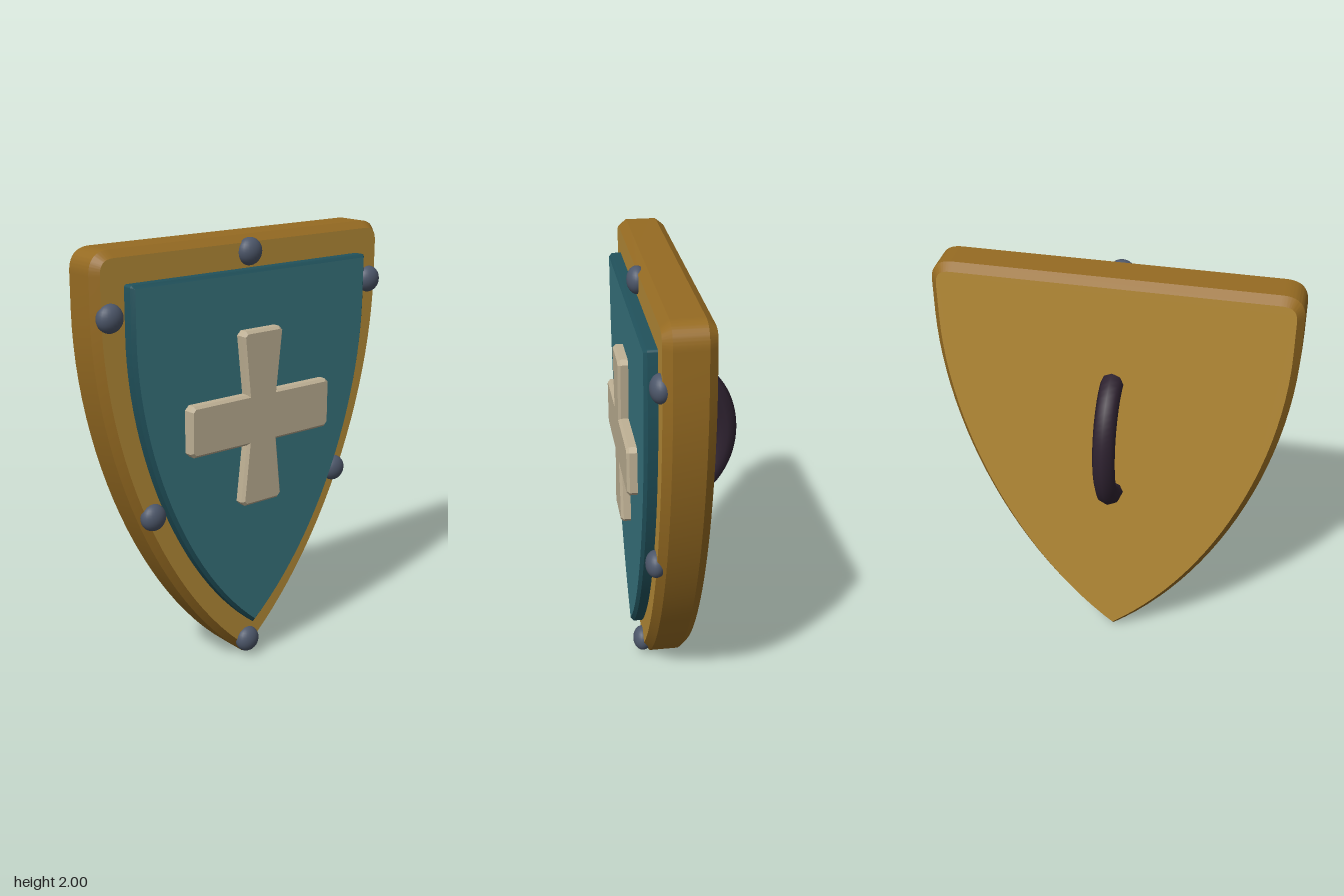
import * as THREE from 'three';
import { toCreasedNormals } from 'three/addons/utils/BufferGeometryUtils.js';

const mat = (name, color) => {
  const m = new THREE.MeshStandardMaterial({ color });
  m.name = name;
  return m;
};

// Heater shield outline: half width w, tip at y0, top at y1, corner radius r
function shieldOutline(w, y0, y1, r) {
  const h = y1 - y0, Y = (t) => y0 + t * h;
  const s = new THREE.Shape();
  s.moveTo(0, y0);
  s.bezierCurveTo(w * 0.625, Y(0.2), w, Y(0.575), w, Y(0.875));
  s.lineTo(w, y1 - r);
  s.quadraticCurveTo(w, y1, w - r, y1);
  s.lineTo(-w + r, y1);
  s.quadraticCurveTo(-w, y1, -w, y1 - r);
  s.lineTo(-w, Y(0.875));
  s.bezierCurveTo(-w, Y(0.575), -w * 0.625, Y(0.2), 0, y0);
  return s;
}

// Cross with straight side arms and flared upright arms, corners clipped by c
function crossOutline() {
  const c = 0.02, quarter = [
    [0.4 - c, 0.115], [0.085, 0.115], [0.115, 0.4 - c], [0.115 - c, 0.4],
  ];
  const right = [[0.4, 0.115 - c], ...quarter];
  const top = [...right, ...right.map(([x, y]) => [-x, y]).reverse()];
  const all = [...top, ...top.map(([x, y]) => [-x, -y])];
  return new THREE.Shape(all.map(([x, y]) => new THREE.Vector2(x, y)));
}

// Bevelled slab filling the outline exactly, from z0 to z1
function slab(name, shape, z0, z1, bevel, thick, materials) {
  const geo = new THREE.ExtrudeGeometry(shape, {
    depth: z1 - z0 - 2 * thick, bevelEnabled: true, bevelSegments: 1,
    bevelSize: bevel, bevelOffset: -bevel, bevelThickness: thick, curveSegments: 24,
  });
  geo.translate(0, 0, z0 + thick);
  const mesh = new THREE.Mesh(toCreasedNormals(geo, 0.35), materials);
  mesh.name = name;
  return mesh;
}

export function createModel() {
  const group = new THREE.Group();
  group.name = 'shield';
  const gold = mat('gold face', 0xb88d38);
  const goldEdge = mat('gold edge', 0x966b22);
  const teal = mat('teal face', 0x38757f);
  const tealEdge = mat('teal edge', 0x21525c);
  const bone = mat('bone', 0xbfb195);
  const steel = mat('steel', 0x4d576a);
  const leather = mat('dark leather', 0x2e2230);

  // Body, raised panel and cross
  group.add(slab('body', shieldOutline(0.8, 0, 2, 0.1), -0.04, 0.175, 0.03, 0.037, [gold, goldEdge]));
  group.add(slab('frontPanel', shieldOutline(0.657, 0.185, 1.86, 0.015), 0.13, 0.232, 0.016, 0.015, [teal, tealEdge]));
  const cross = slab('cross', crossOutline(), 0.21, 0.278, 0.012, 0.012, bone);
  cross.position.y = 1.205;
  group.add(cross);

  // Domed rivets around the rim
  const rivetGeo = new THREE.SphereGeometry(0.061, 24, 16);
  const spots = [[0, 1.93], [0, 0.08]];
  for (const s of [-1, 1]) spots.push([s * 0.73, 1.73], [s * 0.535, 0.83]);
  for (const [x, y] of spots) {
    const rivet = new THREE.Mesh(rivetGeo, steel);
    rivet.name = 'rivet';
    rivet.position.set(x, y, 0.175);
    rivet.scale.z = 0.75;
    group.add(rivet);
  }

  // Arched grip on the back, ends sunk into the body
  const arc = [];
  for (let i = 0; i <= 16; i++) {
    const a = (i / 16) * Math.PI;
    arc.push(new THREE.Vector3(0, 1.2 + 0.305 * Math.cos(a), -0.225 * Math.sin(a)));
  }
  const grip = new THREE.Mesh(
    new THREE.TubeGeometry(new THREE.CatmullRomCurve3(arc), 32, 0.051, 8), leather);
  grip.name = 'grip';
  group.add(grip);

  return group;
}
